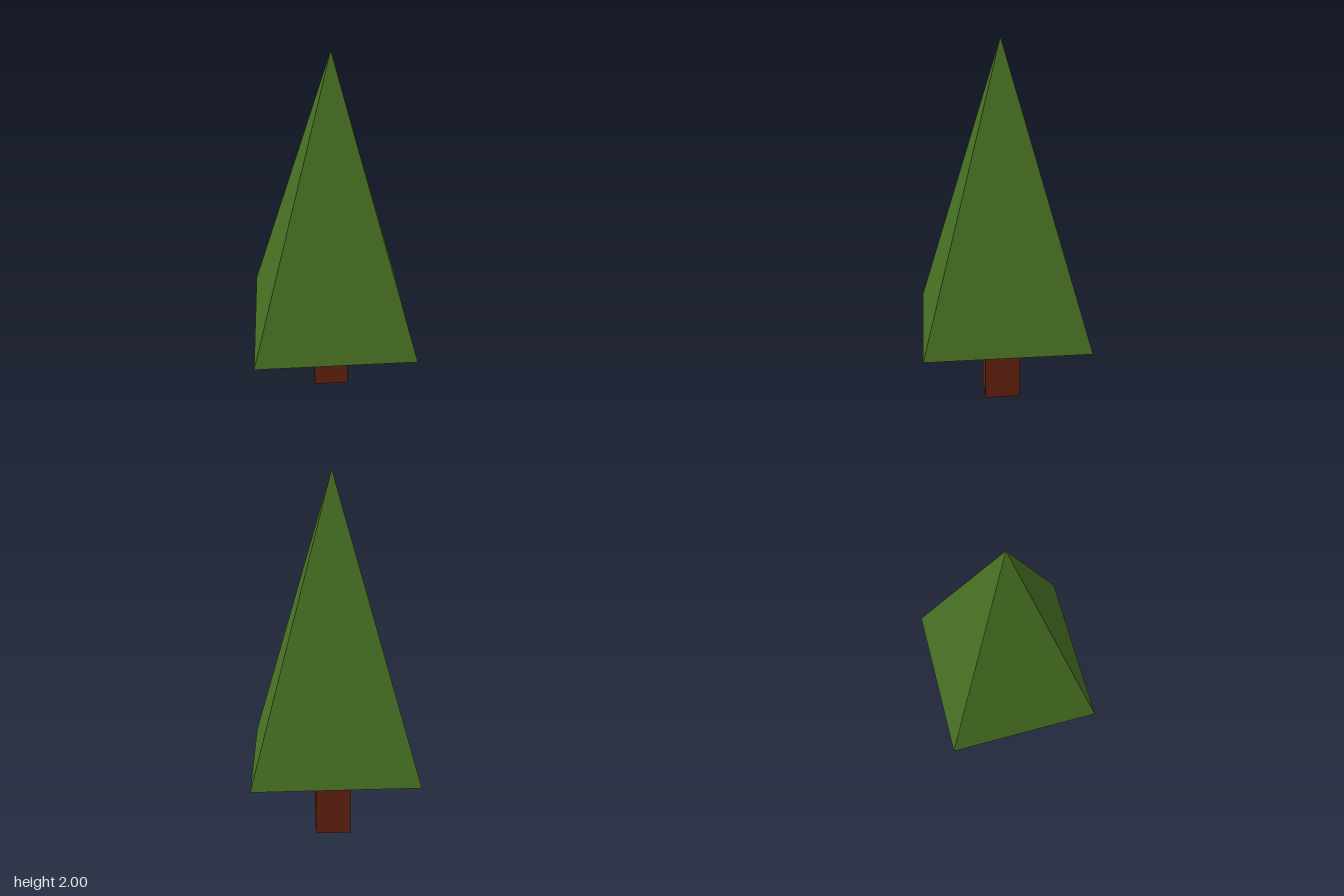
import * as THREE from 'three';

// Open four-sided tube or pyramid with sides parallel to x and z
function squareShell(name, color, topHalf, bottomHalf, y0, y1) {
  const geometry = new THREE.CylinderGeometry(
    topHalf * Math.SQRT2, bottomHalf * Math.SQRT2, y1 - y0, 4, 1, true);
  geometry.rotateY(Math.PI / 4);
  geometry.translate(0, (y0 + y1) / 2, 0);
  const material = new THREE.MeshStandardMaterial({
    color, flatShading: true, side: THREE.DoubleSide });
  const mesh = new THREE.Mesh(geometry, material);
  mesh.name = name;
  return mesh;
}

export function createModel() {
  const group = new THREE.Group();
  group.name = 'tree';

  // Hollow pyramid of foliage, open underneath
  group.add(squareShell('foliage', 0x477022, 0, 0.437, 0.43, 2));

  // Square trunk, open at both ends and slightly off centre
  const trunk = squareShell('trunk', 0x64220f, 0.098, 0.098, 0, 0.43);
  trunk.position.set(-0.004, 0, -0.004);
  group.add(trunk);

  return group;
}
